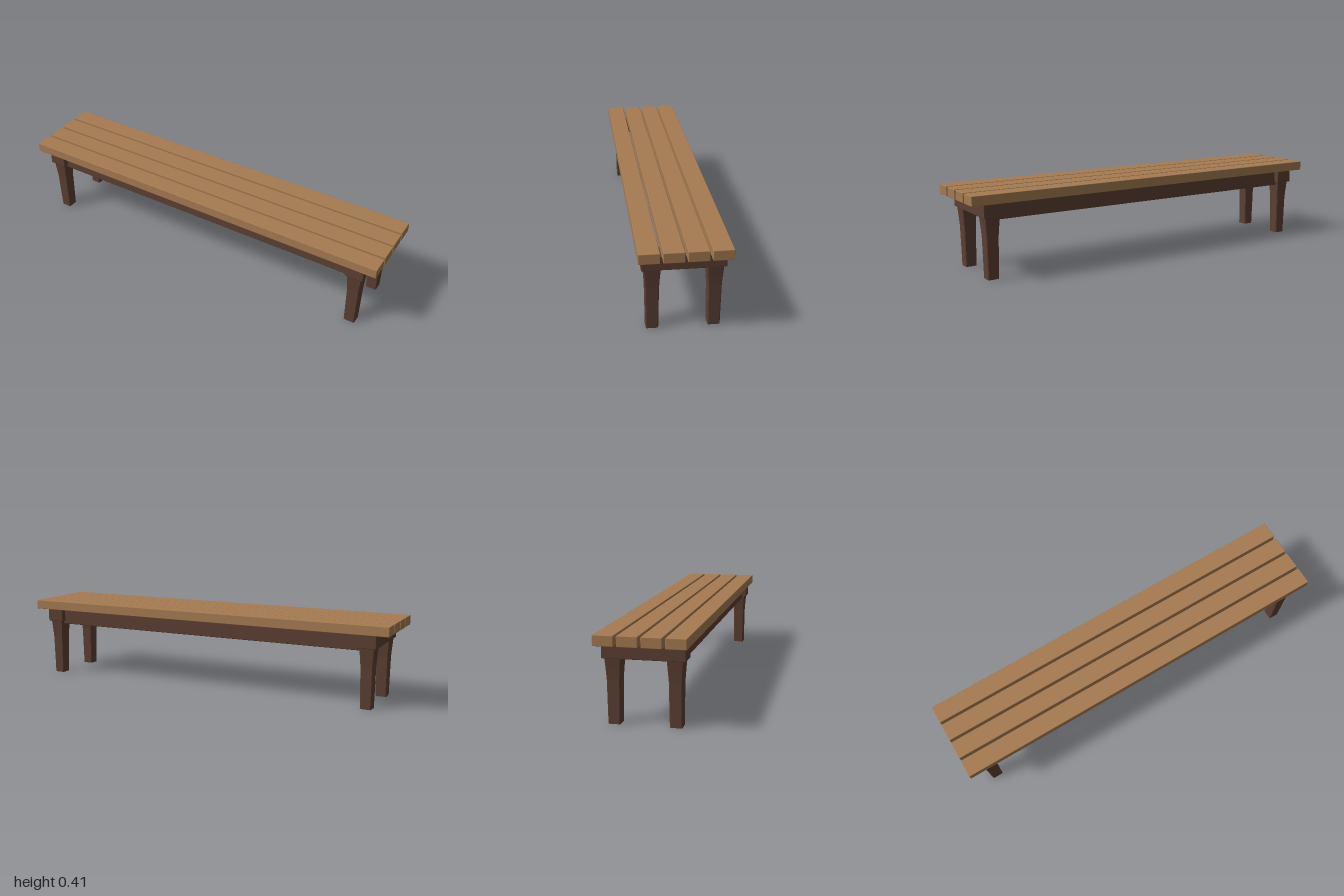
import * as THREE from 'three';
import { RoundedBoxGeometry } from 'three/addons/geometries/RoundedBoxGeometry.js';

const slatWood = new THREE.MeshStandardMaterial({ color: 0xa67c52 });
slatWood.name = 'lightWood';
const frameWood = new THREE.MeshStandardMaterial({ color: 0x5c4033 });
frameWood.name = 'darkWood';

// Board with slightly eased edges
function board(name, material, size, position) {
  const mesh = new THREE.Mesh(new RoundedBoxGeometry(...size, 1, 0.003), material);
  mesh.name = name;
  mesh.position.set(...position);
  return mesh;
}

// Square leg with chamfered corners, flaring towards the top
function legGeometry() {
  const rings = [[0, 0.0275], [0.2, 0.0305], [0.245, 0.0335], [0.296, 0.0375]]; // height, half width
  const chamfer = 0.004;
  const geo = new THREE.CylinderGeometry(1, 1, 3, 8, 3, false, Math.PI / 8);
  const p = geo.attributes.position;
  for (let i = 0; i < p.count; i++) {
    const [y, half] = rings[Math.round(p.getY(i) + 1.5)];
    const place = (v) => (Math.abs(v) < 0.01 ? 0 : Math.sign(v) * (Math.abs(v) > 0.6 ? half : half - chamfer));
    p.setXYZ(i, place(p.getX(i)), y, place(p.getZ(i)));
  }
  const flat = geo.toNonIndexed();
  flat.computeVertexNormals();
  return flat;
}

export function createModel() {
  const bench = new THREE.Group();
  bench.name = 'bench';

  // Seat slats
  for (let i = 0; i < 4; i++) {
    bench.add(board('seatSlat', slatWood, [2, 0.048, 0.092], [0, 0.385, (1.5 - i) * 0.1047]));
  }

  // Long rails under the seat
  for (const z of [-0.137, 0.137]) {
    bench.add(board('longRail', frameWood, [1.72, 0.075, 0.04], [0, 0.317, z]));
  }

  // End beams, each on two legs
  const leg = legGeometry();
  for (const x of [-0.89, 0.89]) {
    bench.add(board('endBeam', frameWood, [0.092, 0.066, 0.37], [x, 0.328, 0]));
    for (const z of [-0.137, 0.137]) {
      const mesh = new THREE.Mesh(leg, frameWood);
      mesh.name = 'leg';
      mesh.position.set(x, 0, z);
      bench.add(mesh);
    }
  }
  return bench;
}
